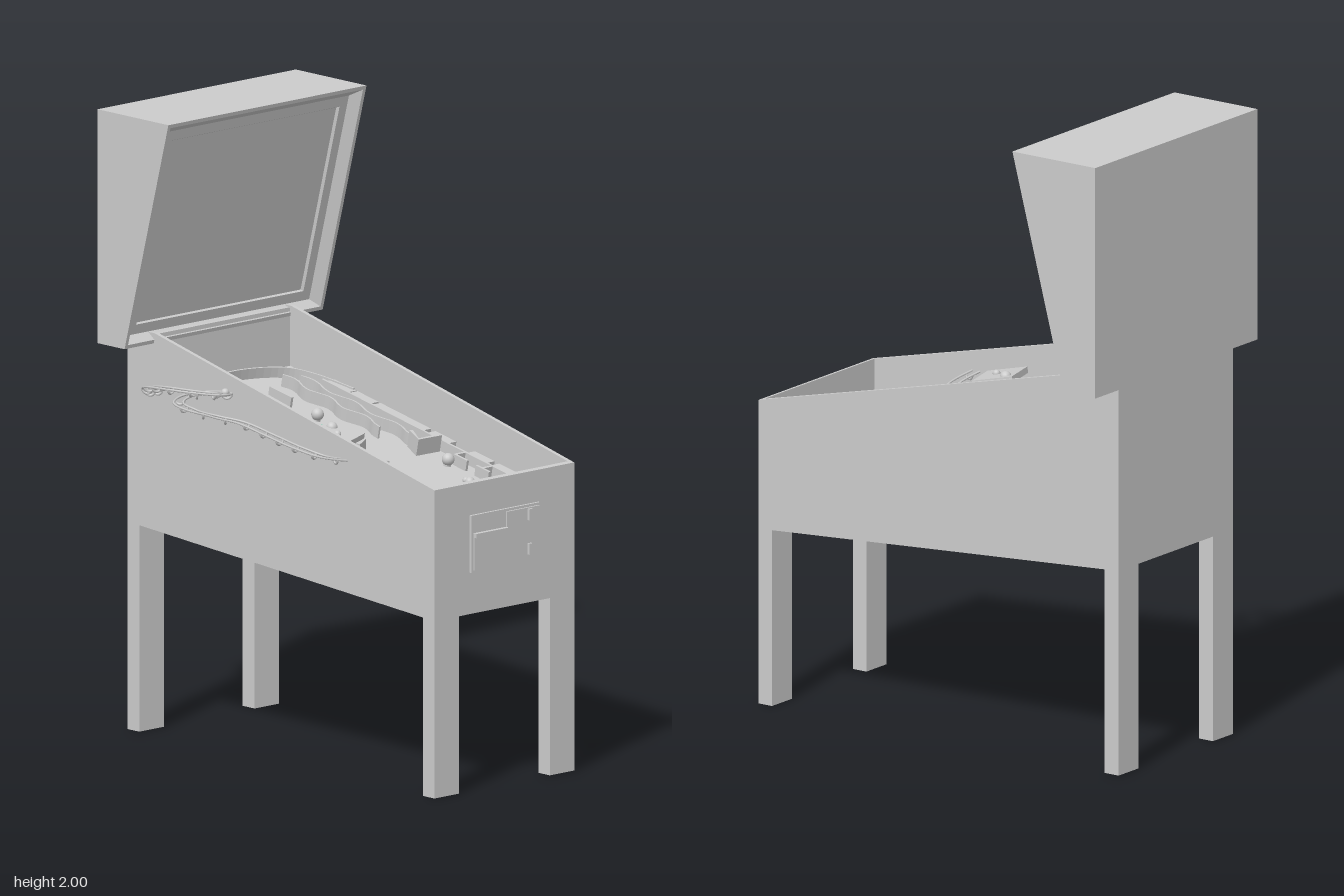
import * as THREE from 'three';

const grey = new THREE.MeshStandardMaterial({ color: 0xcccccc, side: THREE.DoubleSide });
const flat = new THREE.MeshStandardMaterial({ color: 0xcccccc, flatShading: true, side: THREE.DoubleSide });
const teal = new THREE.MeshStandardMaterial({ color: 0x7fd0b4 });
const V = (x, y, z) => new THREE.Vector3(x, y, z);

function add(parent, name, geo, mat = grey, x = 0, y = 0, z = 0) {
  const m = new THREE.Mesh(geo, mat);
  m.name = name;
  m.position.set(x, y, z);
  parent.add(m);
  return m;
}

// Box given by its extents
function box(parent, name, x0, x1, y0, y1, z0, z1) {
  return add(parent, name, new THREE.BoxGeometry(x1 - x0, y1 - y0, z1 - z0), grey,
    (x0 + x1) / 2, (y0 + y1) / 2, (z0 + z1) / 2);
}

// Side profile of [z, y] points extruded from x0 to x1
function profile(parent, name, pts, x0, x1) {
  const shape = new THREE.Shape(pts.map(p => new THREE.Vector2(...p)));
  const geo = new THREE.ExtrudeGeometry(shape, { depth: x1 - x0, bevelEnabled: false });
  geo.rotateY(-Math.PI / 2).translate(x1, 0, 0);
  return add(parent, name, geo);
}

// Upright strip along [x, z] points, smooth or straight
function wall(parent, name, pts, h, t = 0.008, smooth = false) {
  let p = pts.map(([x, z]) => new THREE.Vector2(x, -z));
  if (smooth) p = new THREE.SplineCurve(p).getPoints(pts.length * 6);
  const side = s => p.map((q, i) => {
    const d = p[Math.min(i + 1, p.length - 1)].clone().sub(p[Math.max(i - 1, 0)]).normalize();
    return new THREE.Vector2(q.x - d.y * s, q.y + d.x * s);
  });
  const shape = new THREE.Shape([...side(t / 2), ...side(-t / 2).reverse()]);
  const geo = new THREE.ExtrudeGeometry(shape, { depth: h, bevelEnabled: false }).rotateX(-Math.PI / 2);
  return add(parent, name, geo);
}

// Closed skin over a sequence of four-cornered rings
function rings(list) {
  const pos = [];
  const quad = (a, b, c, d) => [a, b, c, a, c, d].forEach(v => pos.push(v.x, v.y, v.z));
  quad(...[...list[0]].reverse());
  for (let k = 0; k + 1 < list.length; k++) {
    for (let i = 0; i < 4; i++) {
      const j = (i + 1) % 4;
      quad(list[k][i], list[k][j], list[k + 1][j], list[k + 1][i]);
    }
  }
  quad(...list[list.length - 1]);
  const geo = new THREE.BufferGeometry();
  geo.setAttribute('position', new THREE.Float32BufferAttribute(pos, 3));
  geo.computeVertexNormals();
  return geo;
}

function buildCabinet(root) {
  const g = new THREE.Group();
  g.name = 'cabinet';
  root.add(g);
  const outline = [[0.69, 0.567], [0.69, 0.985], [-0.585, 1.285], [-0.71, 1.285], [-0.71, 0.664]];
  profile(g, 'rightSide', outline, -0.24, -0.226);
  profile(g, 'leftSide', outline, 0.346, 0.36);
  profile(g, 'body', [[0.675, 0.568], [0.675, 0.84], [-0.59, 1.093], [-0.7, 1.093], [-0.7, 0.663]], -0.227, 0.347);
  profile(g, 'frontPanel', [[0.69, 0.567], [0.69, 0.985], [0.675, 0.9885], [0.675, 0.568]], -0.227, 0.347);
  box(g, 'backPanel', -0.227, 0.347, 0.664, 1.28, -0.71, -0.59);
  for (const [x0, x1] of [[-0.24, -0.135], [0.255, 0.36]]) {
    box(g, 'frontLeg', x0, x1, 0, 0.6, 0.638, 0.69);
    box(g, 'backLeg', x0, x1, 0, 0.7, -0.71, -0.655);
  }
}

function buildHead(root) {
  // Rectangle inset on the sloping front, sunk by depth
  const front = (inset, depth) => {
    const c = (x, y) => V(x, y, -0.59 + (y - 1.25) * 0.267 - depth);
    const x0 = -0.365 + inset, x1 = 0.485 - inset, y0 = 1.252 + inset, y1 = 2 - inset;
    return [c(x0, y0), c(x1, y0), c(x1, y1), c(x0, y1)];
  };
  const back = front(0, 0).map(v => V(v.x, v.y, -0.712));
  const geo = rings([back, front(0, 0), front(0.012, 0), front(0.034, 0.035),
    front(0.066, 0.035), front(0.07, 0.045)]);
  add(root, 'headBox', geo, flat);
}

function buildCoinDoor(root) {
  const g = new THREE.Group();
  g.name = 'coinDoor';
  root.add(g);
  box(g, 'doorFrame', -0.09, 0.205, 0.7, 0.883, 0.685, 0.699);
  box(g, 'lowerDoor', -0.082, 0.197, 0.708, 0.815, 0.69, 0.705);
  box(g, 'upperDoor', 0.058, 0.197, 0.815, 0.875, 0.69, 0.705);
  box(g, 'ledge', -0.082, 0.058, 0.812, 0.826, 0.69, 0.714);
  for (const y of [0.725, 0.835]) box(g, 'coinSlot', 0.146, 0.16, y, y + 0.036, 0.7, 0.714);
}

function buildPlayfield(root) {
  // Local frame lies on the sloping playfield
  const g = new THREE.Group();
  g.name = 'playfield';
  g.position.y = 0.975;
  g.rotation.x = Math.atan(0.2);
  g.scale.z = 1.02;
  root.add(g);
  const ball = (name, x, z, r, y = r * 0.8, mat = grey) =>
    add(g, name, new THREE.SphereGeometry(r, 16, 12), mat, x, y, z);

  // Bumpers
  for (const [x, z] of [[-0.022, -0.222], [0.096, -0.204], [0.227, 0.252]]) {
    ball('bumper', x, z, 0.02, 0.022);
    add(g, 'bumperStem', new THREE.CylinderGeometry(0.01, 0.012, 0.02, 12), grey, x, 0.01, z);
  }
  add(g, 'centreBumper', new THREE.CylinderGeometry(0.026, 0.033, 0.018, 24), grey, 0.015, 0.009, -0.098);
  ball('bumperLamp', 0.015, -0.098, 0.016, 0.024, teal);

  // Clusters of small domes
  const clusters = [[-0.075, -0.355, 0.016], [-0.075, -0.313, 0.016], [-0.1, -0.335, 0.012], [-0.12, -0.315, 0.014],
    [-0.14, -0.32, 0.01], [-0.098, -0.308, 0.011],
    [-0.08, 0.375, 0.01], [-0.083, 0.4, 0.016], [-0.1, 0.427, 0.011], [-0.072, 0.427, 0.011], [-0.088, 0.445, 0.011],
    [-0.07, 0.456, 0.016], [-0.058, 0.478, 0.01],
    [0.18, 0.386, 0.011], [0.175, 0.408, 0.016], [0.16, 0.428, 0.012], [0.184, 0.428, 0.012], [0.165, 0.448, 0.016],
    [0.143, 0.463, 0.01], [0.186, 0.458, 0.011]];
  for (const [x, z, r] of clusters) ball('dome', x, z, r);

  // Wavy lane rails and the arch round the top
  const wave = (x0, z0, z1, amp, drift) => Array.from({ length: 15 }, (_, i) =>
    [x0 + amp * Math.sin(i * 1.25) + drift * i / 14, z0 + (z1 - z0) * i / 14]);
  wall(g, 'wavyRail', wave(0.195, -0.47, -0.01, 0.012, -0.005), 0.04, 0.006, true);
  wall(g, 'wavyRail', wave(0.245, -0.44, 0.09, 0.012, -0.005), 0.04, 0.006, true);
  wall(g, 'arch', [[-0.222, 0.02], [-0.216, -0.2], [-0.198, -0.4], [-0.14, -0.52], [0.06, -0.565],
    [0.24, -0.53], [0.31, -0.44], [0.34, -0.3]], 0.035, 0.006, true);

  // Straight guides
  const guides = [[0.02, -0.42, 0.02, -0.32], [0.095, -0.42, 0.095, -0.32], [-0.117, -0.115, -0.117, 0.03],
    [-0.18, -0.04, -0.18, 0.02], [-0.22, 0.005, -0.13, 0.005], [-0.172, 0.34, -0.172, 0.41],
    [-0.22, 0.365, -0.172, 0.365], [0.255, 0.25, 0.255, 0.31], [0.255, 0.35, 0.255, 0.41],
    [0.255, 0.45, 0.255, 0.5], [0.255, 0.252, 0.3, 0.252], [0.255, 0.375, 0.3, 0.375],
    [0.255, 0.455, 0.3, 0.455], [0.3, -0.4, 0.3, 0.5]];
  for (const [a, b, c, d] of guides) wall(g, 'guide', [[a, b], [c, d]], 0.035, 0.009);

  // Blocks along the shooter lane
  for (const [a, b] of [[-0.39, -0.29], [-0.285, -0.19], [-0.18, 0.05], [0.07, 0.165], [0.25, 0.34], [0.36, 0.5]])
    box(g, 'laneBlock', 0.302, 0.343, 0, 0.03, a, b);

  // Lower guides, flippers and apron, mirrored about the middle
  for (const s of [-1, 1]) {
    const m = pts => pts.map(([x, z]) => [0.043 + s * x, z]);
    wall(g, 'inlaneGuide', m([[0.208, 0.46], [0.205, 0.5], [0.12, 0.545], [0.09, 0.555]]), 0.035, 0.01);
    wall(g, 'flipper', m([[0.1, 0.553], [0.035, 0.562]]), 0.03, 0.015);
    wall(g, 'apronEdge', m([[0.25, 0.61], [0.228, 0.605], [0.21, 0.585], [0.086, 0.63], [0.086, 0.672]]), 0.04, 0.008);
  }
  box(g, 'drain', -0.02, 0.108, 0, 0.025, 0.652, 0.668);
  wall(g, 'target', [[0.225, 0.08], [0.195, 0.145], [0.29, 0.145]], 0.055, 0.012);

  // Toy tower with a sloping ramp leaning against it
  const tower = new THREE.Group();
  tower.name = 'tower';
  tower.position.set(-0.125, 0, 0.092);
  tower.rotation.y = 0.33;
  g.add(tower);
  box(tower, 'towerBody', -0.055, 0.055, 0, 0.085, -0.045, 0.045);
  box(tower, 'towerRoof', -0.08, 0.08, 0.083, 0.103, -0.065, 0.065);
  add(tower, 'roofKnob', new THREE.SphereGeometry(0.018, 16, 12), grey, 0.05, 0.1, -0.035);
  add(tower, 'roofKnob', new THREE.SphereGeometry(0.012, 16, 12), grey, 0, 0.105, 0.01);
  const ramp = new THREE.Shape();
  ramp.moveTo(0, 0).lineTo(0.13, 0);
  ramp.quadraticCurveTo(0.075, 0.02, 0.06, 0.085);
  ramp.lineTo(0, 0.085);
  const rampMesh = add(g, 'towerRamp', new THREE.ExtrudeGeometry(ramp, { depth: 0.13, bevelEnabled: false }),
    grey, -0.125, 0, 0.09);
  rampMesh.rotation.y = 0.5;
  rampMesh.geometry.translate(0.01, 0, -0.045);
}

function buildWireRamp(root) {
  const g = new THREE.Group();
  g.name = 'wireRamp';
  root.add(g);
  const path = new THREE.CatmullRomCurve3([
    [-0.21, 1.11, -0.56], [-0.34, 1.13, -0.5], [-0.43, 1.17, -0.41], [-0.47, 1.19, -0.3], [-0.445, 1.19, -0.2],
    [-0.38, 1.18, -0.145], [-0.32, 1.17, -0.17], [-0.312, 1.16, -0.25], [-0.365, 1.15, -0.3], [-0.43, 1.14, -0.275],
    [-0.44, 1.13, -0.2], [-0.39, 1.11, -0.145], [-0.345, 1.095, -0.08], [-0.33, 1.07, 0.04], [-0.327, 1.05, 0.16],
    [-0.295, 1.03, 0.25], [-0.2, 1.01, 0.285], [-0.12, 0.995, 0.29], [-0.06, 0.985, 0.27]].map(p => V(...p)));
  const offset = (t, s) => {
    const d = path.getTangentAt(t);
    return path.getPointAt(t).add(V(-d.z, 0, d.x).normalize().multiplyScalar(s));
  };
  for (const s of [-0.015, 0.015]) {
    const pts = Array.from({ length: 90 }, (_, i) => offset(i / 89, s));
    add(g, 'rail', new THREE.TubeGeometry(new THREE.CatmullRomCurve3(pts), 160, 0.0035, 6));
  }
  // Cradle hoops under the rails
  for (let i = 0; i <= 24; i++) {
    const hoop = add(g, 'hoop', new THREE.TorusGeometry(0.015, 0.004, 6, 10, Math.PI).rotateZ(Math.PI));
    const p = path.getPointAt(i / 24), d = path.getTangentAt(i / 24);
    hoop.position.copy(p);
    hoop.rotation.y = Math.atan2(d.x, d.z);
  }
  add(g, 'ball', new THREE.SphereGeometry(0.013, 16, 12), grey, -0.328, 1.175, -0.17);
}

export function createModel() {
  const root = new THREE.Group();
  root.name = 'pinballTable';
  buildCabinet(root);
  buildHead(root);
  buildCoinDoor(root);
  buildPlayfield(root);
  buildWireRamp(root);
  return root;
}
